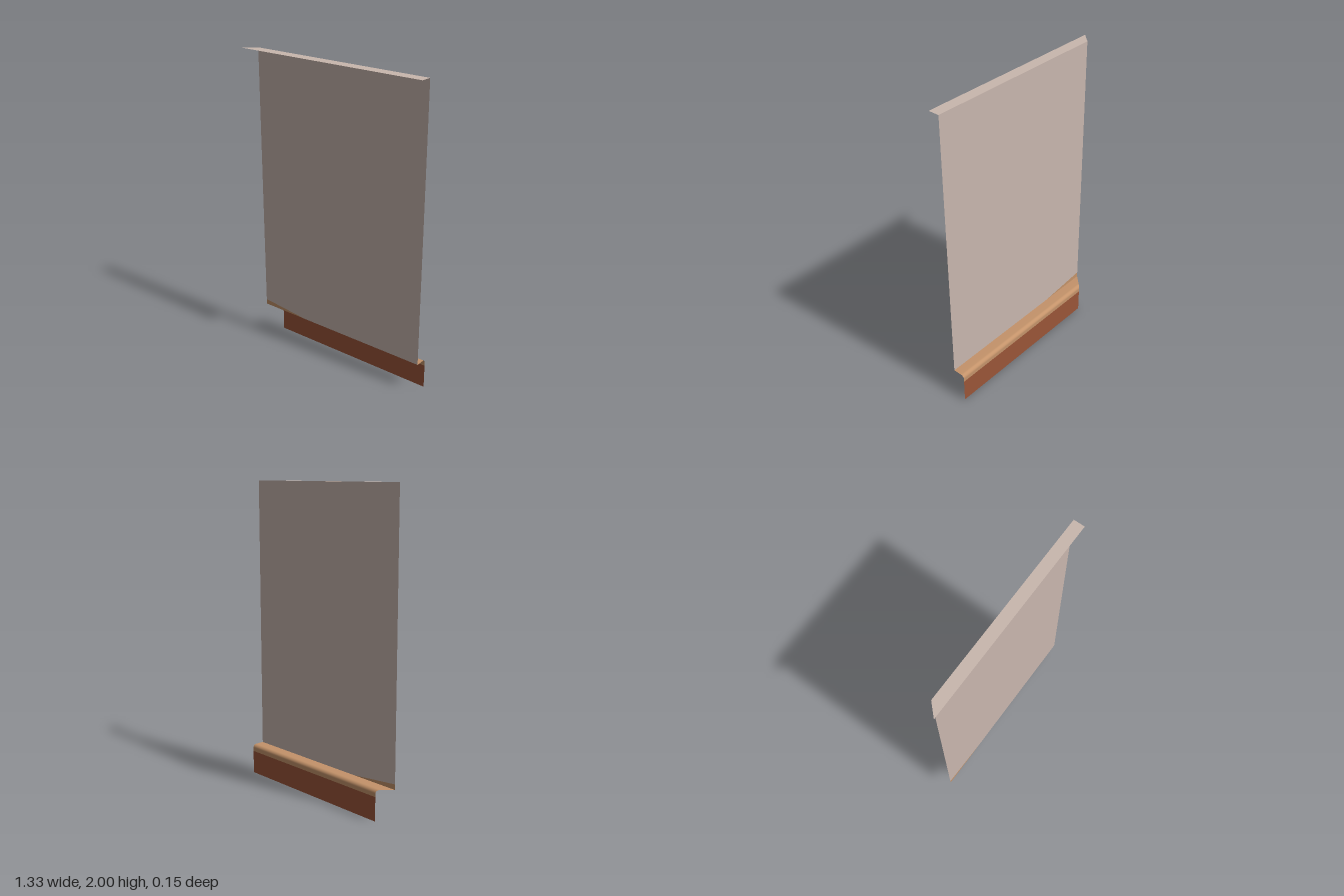
import * as THREE from 'three';

const RIGHT = 0.665;   // square end of the strip
const WALL_Z = 0.005;
const BACK_Z = -0.077;
const mitre = (z) => -0.592 - z; // 45 degree end

// Sweeps a [z, y] profile between the mitred end and the square end.
function sheet(name, profile, material) {
  const pos = [], index = [];
  profile.forEach(([z, y], i) => {
    pos.push(mitre(z), y, z, RIGHT, y, z);
    if (i) {
      const a = 2 * i - 2;
      index.push(a, a + 1, a + 2, a + 1, a + 3, a + 2);
    }
  });
  return finish(name, pos, index, material);
}

function finish(name, pos, index, material) {
  const g = new THREE.BufferGeometry();
  g.setAttribute('position', new THREE.Float32BufferAttribute(pos, 3));
  g.setIndex(index);
  g.computeVertexNormals();
  const mesh = new THREE.Mesh(g, material);
  mesh.name = name;
  return mesh;
}

// Flat upright panel facing the front, from [x, y] corners.
function panel(name, corners, material) {
  const pos = corners.flatMap(([x, y]) => [x, y, WALL_Z]);
  const index = [];
  for (let i = 1; i < corners.length - 1; i++) index.push(0, i, i + 1);
  return finish(name, pos, index, material);
}

function colour(name, hex) {
  const m = new THREE.MeshStandardMaterial({ color: hex, side: THREE.DoubleSide });
  m.name = name;
  return m;
}

export function createModel() {
  const plaster = colour('plaster', 0xc9b7ae);
  const wood = colour('light wood', 0xc4936a);
  const brick = colour('red brown', 0x9a5538);
  const group = new THREE.Group();
  group.name = 'wallSection';
  const left = mitre(WALL_Z);

  // Top flange and wall
  group.add(sheet('topFlange', [[0.077, 2], [WALL_Z, 2]], plaster));
  group.add(panel('wall', [[-0.25, 0.202], [RIGHT, 0.202], [RIGHT, 2], [left, 2], [left, 0.237]], plaster));

  // Wooden wedge at the foot of the wall
  group.add(panel('wallFoot', [[left, 0.202], [-0.25, 0.202], [left, 0.237]], wood));

  // Ledge with a rounded nose
  const r = 0.024;
  const ledge = [[WALL_Z, 0.202], [-0.03, 0.202]];
  for (let i = 0; i <= 6; i++) {
    const t = (i / 6) * Math.PI / 2;
    ledge.push([BACK_Z + r - r * Math.sin(t), 0.202 - r + r * Math.cos(t)]);
  }
  ledge.push([BACK_Z, 0.155]);
  group.add(sheet('ledge', ledge, wood));

  // Lower skirt
  group.add(sheet('skirt', [[BACK_Z, 0.155], [BACK_Z, 0]], brick));
  return group;
}
